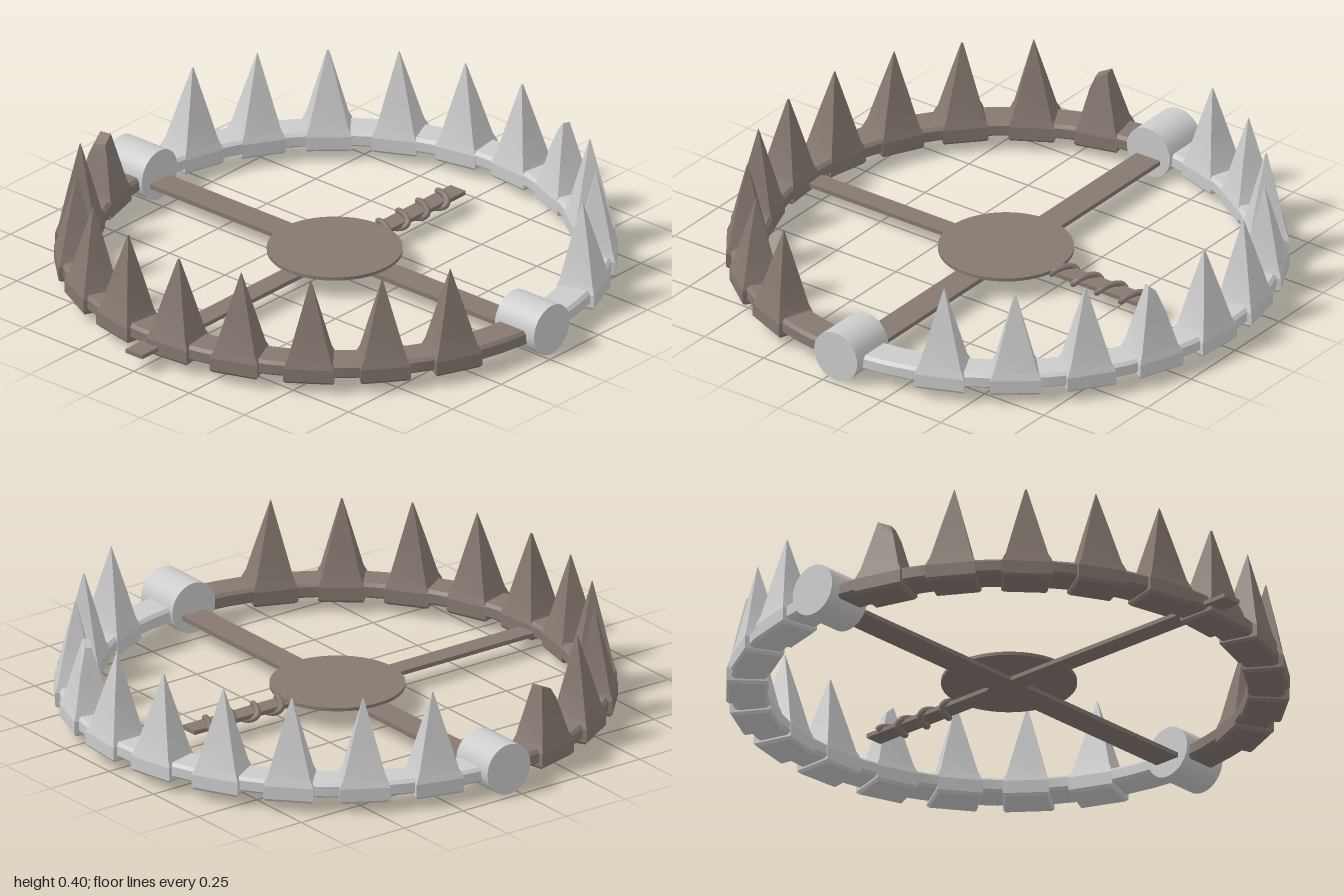
import * as THREE from 'three';
import { toCreasedNormals } from 'three/addons/utils/BufferGeometryUtils.js';

const steel = new THREE.MeshStandardMaterial({ color: 0xcccccc });
const rust = new THREE.MeshStandardMaterial({ color: 0x857870 });
const CX = 0.037; // centre of the jaw ring

function add(parent, name, geometry, material, x = 0, y = 0, z = 0) {
  const mesh = new THREE.Mesh(geometry, material);
  mesh.name = name;
  mesh.position.set(x, y, z);
  parent.add(mesh);
  return mesh;
}

// Curved bar with chamfered edges, covering half of the ring
function jawBar(phiStart) {
  const profile = [
    [0.83, 0.052], [0.93, 0.052], [0.943, 0.062], [0.943, 0.096],
    [0.932, 0.107], [0.828, 0.107], [0.817, 0.096], [0.817, 0.062], [0.83, 0.052],
  ].map(([r, y]) => new THREE.Vector2(r, y));
  return toCreasedNormals(new THREE.LatheGeometry(profile, 32, phiStart, Math.PI), 0.4);
}

// Four-sided tooth on a chamfered clamp block; local x is radial, z tangential
function toothGeometry(top, broken) {
  const spread = (0.402 - top) / 0.29;
  const levels = [
    [0.036, 0.062, 0.076], [0.046, 0.071, 0.083], [0.092, 0.071, 0.083],
    [0.108, 0.066, 0.077], [0.125, 0.060, 0.069],
    [0.25, 0.034, 0.038], [top, 0.066 * spread, 0.076 * spread],
  ];
  const corners = [[1, 1], [1, -1], [-1, -1], [-1, 1]];
  const pos = [];
  const index = [];
  levels.forEach(([y, a, b], i) => {
    for (const [sx, sz] of corners) {
      const wedge = 1 + 0.05 * sx; // wider on the outside of the ring
      const slant = broken && i === levels.length - 1 ? -0.012 * (1 - sz) : 0;
      pos.push(sx * a, y + slant, sz * b * wedge);
    }
  });
  for (let i = 0; i < levels.length - 1; i++) {
    for (let j = 0; j < 4; j++) {
      const p = i * 4 + j, q = i * 4 + (j + 1) % 4;
      index.push(p, q, p + 4, q, q + 4, p + 4);
    }
  }
  const t = (levels.length - 1) * 4;
  index.push(t, t + 1, t + 2, t, t + 2, t + 3, 0, 2, 1, 0, 3, 2);
  const g = new THREE.BufferGeometry();
  g.setAttribute('position', new THREE.Float32BufferAttribute(pos, 3));
  g.setIndex(index);
  return toCreasedNormals(g, 0.25);
}

// One half of the ring with its ten teeth
function jaw(name, side, material, brokenTooth, brokenTop) {
  const group = new THREE.Group();
  group.name = name;
  add(group, 'jawBar', jawBar(side > 0 ? 0 : Math.PI), material);
  for (let i = 0; i < 10; i++) {
    const lat = THREE.MathUtils.degToRad(74.8 - i * 15.8);
    const angle = side > 0 ? lat : Math.PI - lat;
    const broken = i === brokenTooth;
    const top = broken ? brokenTop : 0.395 + 0.005 * Math.sin(i * 2.3);
    const tooth = add(group, 'tooth', toothGeometry(top, broken), material,
      Math.cos(angle) * 0.883, 0, -Math.sin(angle) * 0.883);
    tooth.rotation.y = angle;
  }
  group.position.x = CX;
  return group;
}

export function createModel() {
  const model = new THREE.Group();
  model.name = 'jawTrap';
  model.add(jaw('leftJaw', 1, steel, 6, 0.35));
  model.add(jaw('rightJaw', -1, rust, 0, 0.312));

  // Hinge drums at the front and back
  for (const s of [1, -1]) {
    const drum = add(model, 'hinge', new THREE.CylinderGeometry(0.091, 0.091, 0.177, 40), steel,
      CX, 0.093, s * 0.887);
    drum.rotation.x = Math.PI / 2;
  }

  // Cross bars under the trigger plate
  add(model, 'longBar', new THREE.BoxGeometry(0.1, 0.016, 1.64), rust, CX, 0.067, 0);
  add(model, 'sideArm', new THREE.BoxGeometry(1.1, 0.015, 0.075), rust, -0.45, 0.067, 0);
  add(model, 'wrappedArm', new THREE.BoxGeometry(0.56, 0.015, 0.068), rust, 0.38, 0.067, 0.003);
  add(model, 'triggerPlate', new THREE.CylinderGeometry(0.231, 0.231, 0.012, 56), rust, 0.03, 0.08, 0);

  // Wire wound around the short arm
  const points = [];
  for (let i = 0; i <= 60; i++) {
    const t = i / 60;
    const a = t * Math.PI * 7;
    points.push(new THREE.Vector3(0.25 + 0.355 * t, 0.067 + 0.018 * Math.sin(a), 0.003 + 0.042 * Math.cos(a)));
  }
  add(model, 'wireWrap', new THREE.TubeGeometry(new THREE.CatmullRomCurve3(points), 140, 0.011, 8), rust);

  return model;
}
